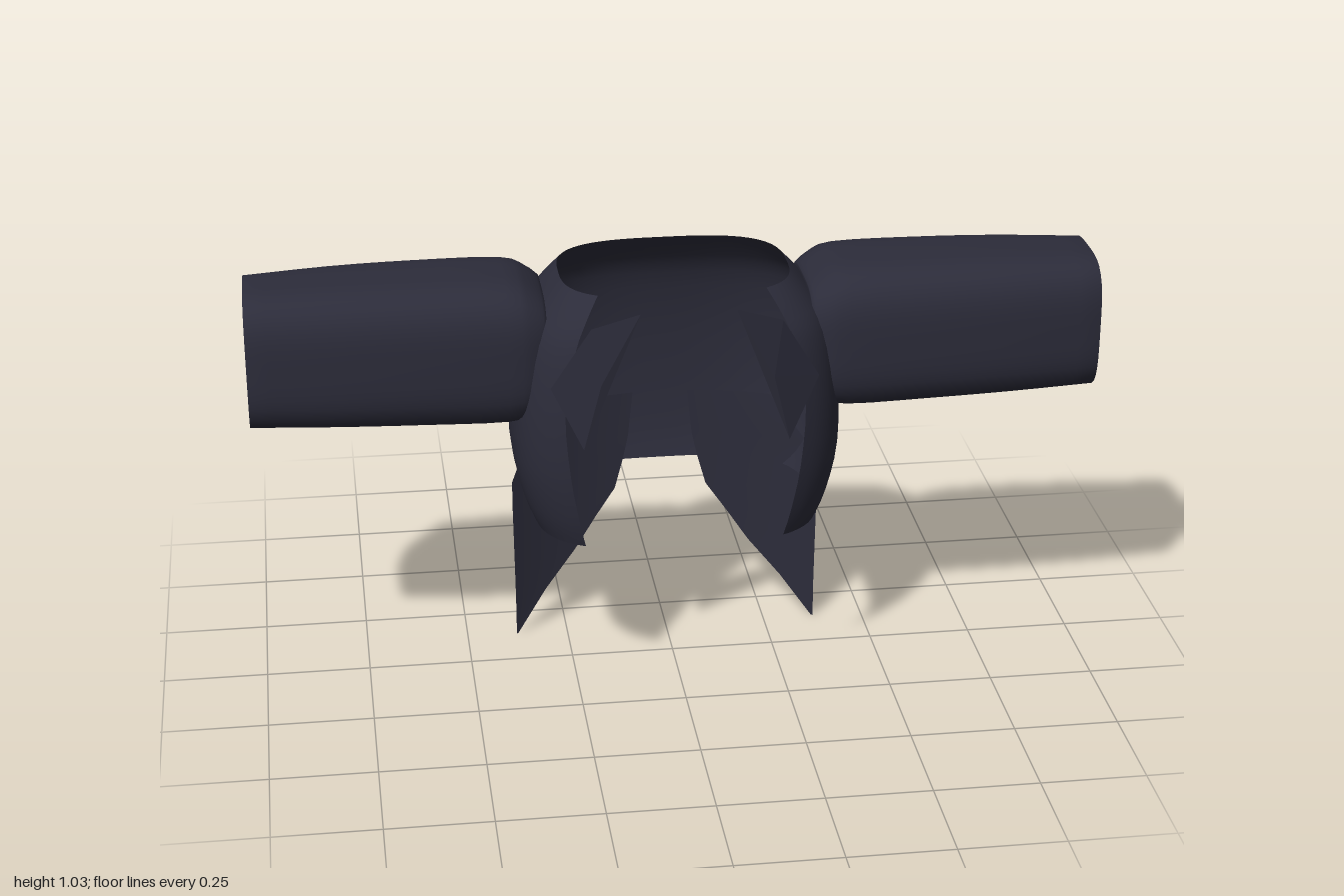
import * as THREE from 'three';
import { ConvexGeometry } from 'three/addons/geometries/ConvexGeometry.js';

const cloth = new THREE.MeshStandardMaterial({ color: 0x2c2c3a, side: THREE.DoubleSide });

// Skin a list of equally long point rows; closed joins the last column to the first.
function loft(rows, closed) {
  const n = rows[0].length, index = [];
  for (let i = 0; i < rows.length - 1; i++) {
    for (let j = 0; j < (closed ? n : n - 1); j++) {
      const a = i * n + j, b = i * n + (j + 1) % n, c = a + n, d = b + n;
      index.push(a, b, d, a, d, c);
    }
  }
  const g = new THREE.BufferGeometry();
  g.setAttribute('position', new THREE.Float32BufferAttribute(rows.flat(2), 3));
  g.setIndex(index);
  g.computeVertexNormals();
  return g;
}

// Radius of a unit superellipse at angle a.
const superR = (a, n) =>
  Math.pow(Math.abs(Math.sin(a)) ** n + Math.abs(Math.cos(a)) ** n, -1 / n);

// Smoothly resample a small table of rows, interpolating every column.
function resample(table, steps) {
  const at = (k) => table[Math.max(0, Math.min(table.length - 1, k))];
  const out = [];
  for (let k = 0; k < table.length - 1; k++) {
    for (let s = 0; s < steps; s++) {
      const t = s / steps;
      out.push(at(k).map((p1, c) => {
        const p0 = at(k - 1)[c], p2 = at(k + 1)[c], p3 = at(k + 2)[c];
        return p1 + 0.5 * t * (p2 - p0 + t * (2 * p0 - 5 * p1 + 4 * p2 - p3 + t * (3 * (p1 - p2) + p3 - p0)));
      }));
    }
  }
  out.push(table[table.length - 1]);
  return out;
}

// Open-fronted torso: height, half width, front depth, back depth, x of front edge.
function bodyGeometry() {
  const table = [
    [0.41, 0.34, 0.255, 0.255, 0.235],
    [0.48, 0.367, 0.27, 0.273, 0.25],
    [0.6, 0.39, 0.282, 0.285, 0.27],
    [0.76, 0.386, 0.282, 0.285, 0.28],
    [0.9, 0.36, 0.265, 0.265, 0.255],
    [0.97, 0.315, 0.235, 0.228, 0.225],
    [1.02, 0.27, 0.2, 0.192, 0.195],
  ];
  const n = 3, cols = 72;
  const rows = resample(table, 3).map(([y, w, zf, zb, xe]) => {
    const u = xe / w, a0 = Math.atan2(u, Math.pow(1 - u ** n, 1 / n));
    return Array.from({ length: cols + 1 }, (_, j) => {
      const a = a0 + (j / cols) * 2 * (Math.PI - a0), r = superR(a, n), c = Math.cos(a);
      return [w * r * Math.sin(a), y, (c > 0 ? zf : zb) * r * c];
    });
  });
  return loft(rows, false);
}

// Rounded-square sleeve: x, half depth, bottom, top; closed at the shoulder, lipped at the cuff.
function sleeveGeometry(side) {
  const outer = resample([
    [0.31, 0.15, 0.73, 0.985],
    [0.34, 0.165, 0.7, 1.008],
    [0.4, 0.175, 0.681, 1.03],
    [0.6, 0.174, 0.684, 1.032],
    [0.8, 0.165, 0.688, 1.029],
    [1.0, 0.147, 0.693, 1.02],
  ], 3);
  const table = [[0.31, 0, 0.857, 0.857], [0.31, 0.145, 0.735, 0.98], ...outer,
    [0.998, 0.139, 0.7, 1.012], [0.97, 0.138, 0.701, 1.011]];
  const rows = table.map(([x, d, y0, y1]) => Array.from({ length: 48 }, (_, j) => {
    const a = (j / 48) * Math.PI * 2, r = superR(a, 3.6);
    return [side * x, (y0 + y1) / 2 + (y1 - y0) / 2 * r * Math.sin(a), d * r * Math.cos(a)];
  }));
  return loft(rows, true);
}

// Pointed coat tail: height, inner x, outer x, bowed in plan.
function tailGeometry(side) {
  const rows = [
    [0.595, 0.068, 0.27], [0.48, 0.08, 0.355], [0.42, 0.093, 0.38], [0.34, 0.115, 0.38],
    [0.27, 0.165, 0.379], [0.19, 0.22, 0.378], [0.1, 0.298, 0.377], [0, 0.373, 0.377],
  ].map(([y, x0, x1]) => Array.from({ length: 13 }, (_, j) => {
    const x = x0 + (x1 - x0) * j / 12;
    return [side * x, y, -0.245 + 0.8 * x * x];
  }));
  return loft(rows, false);
}

// Thin folded lapel with a slight ridge.
function lapelGeometry(side) {
  return new ConvexGeometry([
    [0.11, 1.015, 0.285], [0.22, 0.975, 0.262], [0.312, 0.82, 0.23], [0.24, 0.675, 0.26],
    [0.2, 0.84, 0.274], [0.235, 0.84, 0.25],
  ].map(([x, y, z]) => new THREE.Vector3(side * x, y, z)));
}

export function createModel() {
  const model = new THREE.Group();
  model.name = 'jacket';
  const add = (name, geometry) => {
    const mesh = new THREE.Mesh(geometry, cloth);
    mesh.name = name;
    model.add(mesh);
  };
  add('jacketBody', bodyGeometry());
  for (const [label, side] of [['left', 1], ['right', -1]]) {
    add(label + 'Sleeve', sleeveGeometry(side));
    add(label + 'Lapel', lapelGeometry(side));
    add(label + 'CoatTail', tailGeometry(side));
  }
  return model;
}
